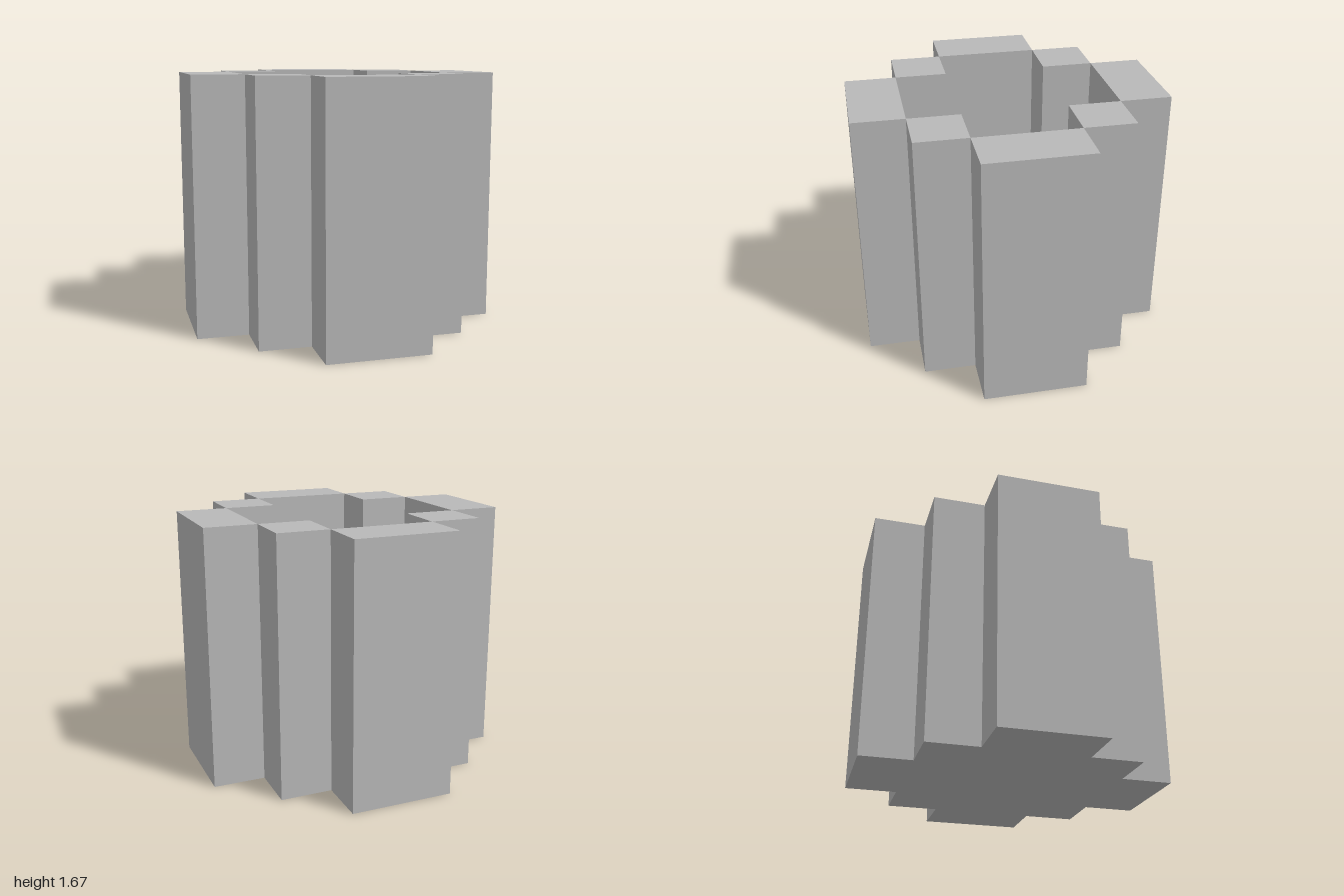
import * as THREE from 'three';

const U = 1 / 3; // block unit
const HEIGHT = 5 * U;
const FLOOR = U;

// Repeats the corner points of one quadrant around the centre
function fourfold(quadrant) {
  const points = [];
  for (let i = 0; i < 4; i++) {
    for (const [x, y] of quadrant) {
      points.push(new THREE.Vector2(x * U, y * U).rotateAround(new THREE.Vector2(), i * Math.PI / 2));
    }
  }
  return points;
}

// Extrudes a plan shape upward from y = 0
function prism(shape, height) {
  const geometry = new THREE.ExtrudeGeometry(shape, { depth: height, bevelEnabled: false });
  return geometry.rotateX(-Math.PI / 2);
}

export function createModel() {
  const group = new THREE.Group();
  group.name = 'steppedVessel';

  const stone = new THREE.MeshStandardMaterial({ color: 0xb8b8b8 });
  stone.name = 'stone grey';

  // Stepped outer outline and cross-shaped cavity
  const outer = fourfold([[3, 1], [2, 1], [2, 2], [1, 2], [1, 3]]);
  const cavity = fourfold([[2, 1], [1, 1], [1, 2]]);

  // Walls, open at the top
  const wallShape = new THREE.Shape(outer);
  wallShape.holes.push(new THREE.Path(cavity));
  const walls = new THREE.Mesh(prism(wallShape, HEIGHT), stone);
  walls.name = 'walls';

  // Floor filling the bottom of the cavity
  const floor = new THREE.Mesh(prism(new THREE.Shape(cavity), FLOOR), stone);
  floor.name = 'floor';

  group.add(walls, floor);
  return group;
}
